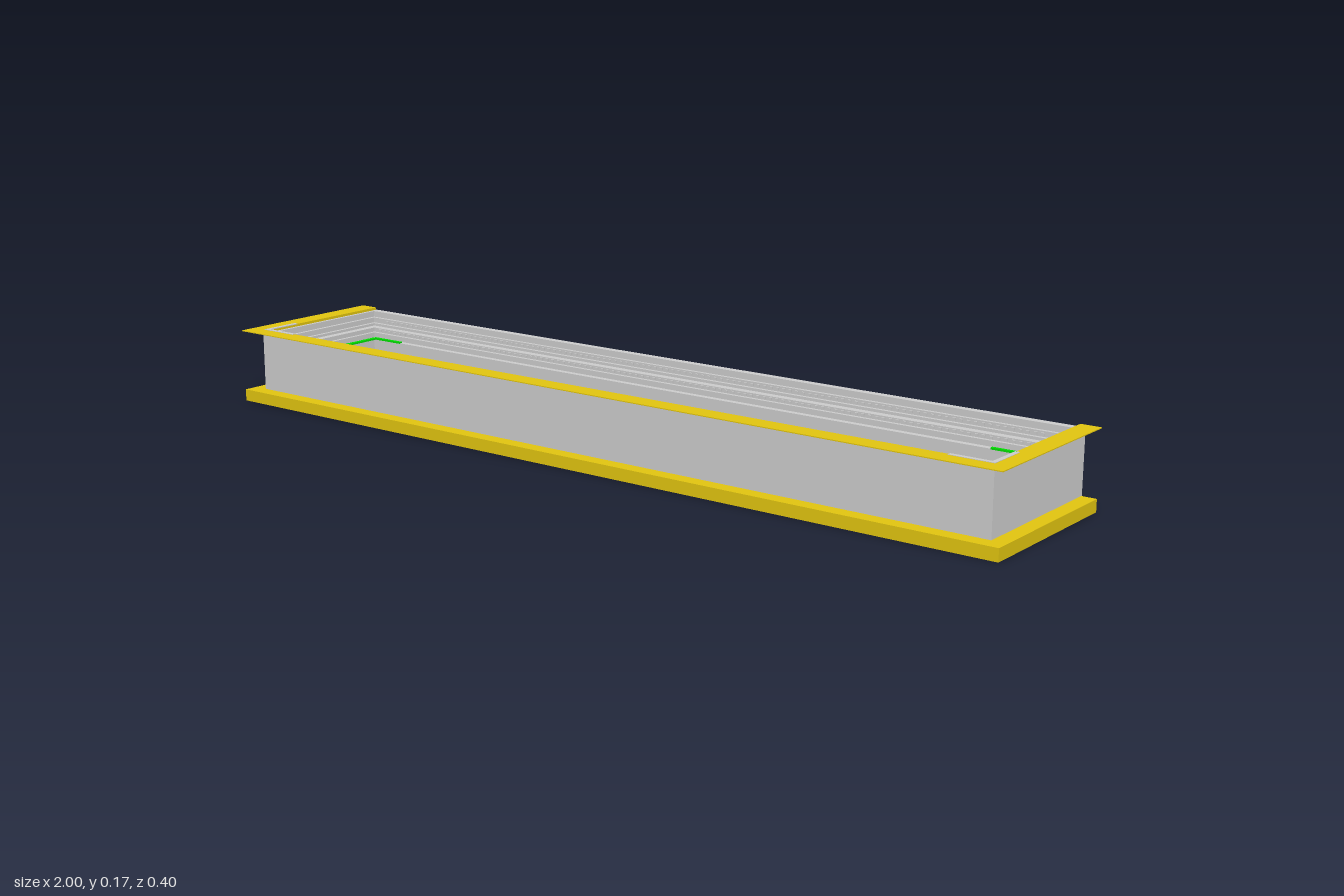
import * as THREE from 'three';

const BACK = -0.2, FRONT = 0.166, HALF = 0.965;
const paint = (color) => new THREE.MeshStandardMaterial({ color, flatShading: true, side: THREE.DoubleSide });

// Sweeps a profile of [inset, y] points round the mitred rectangle,
// either as a closed ring or as a U left open at the back.
function frame(name, profile, material, open = false) {
  const pos = [];
  const at = (corner, [d, y]) => {
    const x = HALF - d;
    const back = open ? BACK + 0.003 : BACK + d;
    return [[-x, y, back], [-x, y, FRONT - d], [x, y, FRONT - d], [x, y, back]][corner % 4];
  };
  const tri = (...points) => points.forEach((p) => pos.push(...p));
  const n = profile.length;
  for (let c = 0; c < (open ? 3 : 4); c++) {
    for (let i = 0; i < n; i++) {
      const a = profile[i], b = profile[(i + 1) % n];
      tri(at(c, a), at(c + 1, a), at(c + 1, b));
      tri(at(c, a), at(c + 1, b), at(c, b));
    }
  }
  if (open) {
    for (let i = 1; i < n - 1; i++) {
      tri(at(0, profile[0]), at(0, profile[i]), at(0, profile[i + 1]));
      tri(at(3, profile[0]), at(3, profile[i + 1]), at(3, profile[i]));
    }
  }
  const geometry = new THREE.BufferGeometry();
  geometry.setAttribute('position', new THREE.Float32BufferAttribute(pos, 3));
  geometry.computeVertexNormals();
  const mesh = new THREE.Mesh(geometry, material);
  mesh.name = name;
  return mesh;
}

export function createModel() {
  const model = new THREE.Group();
  model.name = 'steppedFrame';
  const grey = paint(0xcccccc), yellow = paint(0xe0c410), green = paint(0x00dd00);

  const box = (name, w, h, d, x, y, z, material = grey) => {
    const mesh = new THREE.Mesh(new THREE.BoxGeometry(w, h, d), material);
    mesh.position.set(x, y, z);
    mesh.name = name;
    model.add(mesh);
  };

  // Wall ring: plain outside, mouldings stepping down to the opening inside
  model.add(frame('wallRing', [
    [0, 0.025], [0, 0.164], [0.018, 0.164], [0.018, 0.15], [0.026, 0.15], [0.026, 0.138],
    [0.034, 0.138], [0.034, 0.132], [0.052, 0.132], [0.052, 0.122], [0.06, 0.122], [0.06, 0.11],
    [0.074, 0.11], [0.074, 0.055], [0.068, 0.045], [0.068, 0.02], [0.055, 0.02], [0.055, 0.014],
    [0.035, 0.014], [0.035, 0.025],
  ], grey));

  // Yellow trims on the front and both ends
  model.add(frame('topCornice', [
    [0, 0.16], [-0.035, 0.168], [-0.035, 0.17], [0.01, 0.17], [0.01, 0.16],
  ], yellow, true));
  model.add(frame('basePlinth', [
    [-0.033, 0], [-0.033, 0.027], [0.004, 0.027], [0.004, 0],
  ], yellow, true));
  model.add(frame('baseInnerLip', [
    [0.014, 0.006], [0.014, 0.026], [0.024, 0.026], [0.024, 0.006],
  ], yellow, true));

  // Fine dentils under the inner steps of the long sides
  const rows = [[0.028, 0.144], [0.054, 0.127]];
  const perRow = 110;
  const dentils = new THREE.InstancedMesh(new THREE.BoxGeometry(0.007, 0.005, 0.004), grey, perRow * 4);
  dentils.name = 'dentils';
  const matrix = new THREE.Matrix4();
  let index = 0;
  for (const [d, y] of rows) {
    for (const z of [BACK + d, FRONT - d]) {
      for (let i = 0; i < perRow; i++) {
        const x = -0.89 + (1.78 * i) / (perRow - 1);
        dentils.setMatrixAt(index++, matrix.makeTranslation(x, y, z));
      }
    }
  }
  model.add(dentils);

  // Mirrored end details
  for (const s of [-1, 1]) {
    box('cornerStripFront', 0.095, 0.002, 0.01, s * 0.915, 0.17, 0.158);
    box('cornerStripSide', 0.01, 0.002, 0.095, s * 0.959, 0.17, 0.115);
    box('greenEndStrip', 0.01, 0.004, 0.218, s * 0.889, 0.111, -0.018, green);
    box('greenBackStrip', 0.09, 0.004, 0.008, s * 0.848, 0.111, -0.128, green);
  }
  return model;
}
